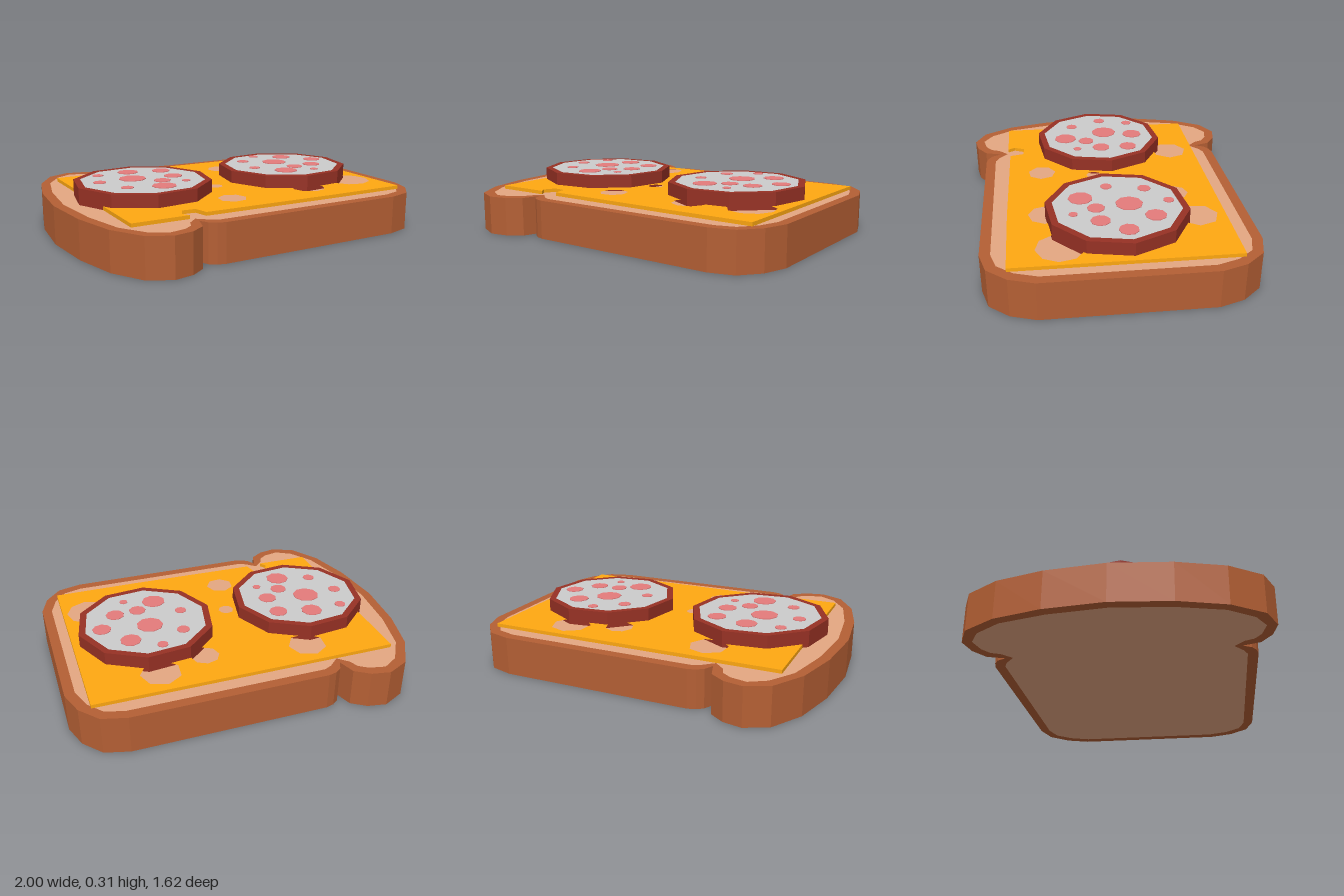
import * as THREE from 'three';

const material = (color) => new THREE.MeshStandardMaterial({ color, flatShading: true });
const CRUST = material(0xb45f34);
const CRUMB = material(0xe4a782);
const CHEESE = material(0xffa811);
const RIND = material(0x973124);
const MEAT = material(0xcccccc);
const SPOT = material(0xe47b7b);

const BREAD_TOP = 0.215, CHEESE_TOP = 0.235, MEAT_TOP = 0.307, SPOT_TOP = 0.311;

// Flat outline given as [x, z] points, extruded upwards from y0 to y1
const toPoints = (list) => list.map(([x, z]) => new THREE.Vector2(x, -z));

function slab(name, mat, outline, holes, y0, y1) {
  const shape = new THREE.Shape(toPoints(outline));
  for (const hole of holes) shape.holes.push(new THREE.Path(toPoints(hole)));
  const geometry = new THREE.ExtrudeGeometry(shape, { depth: y1 - y0, bevelEnabled: false });
  geometry.rotateX(-Math.PI / 2).translate(0, y0, 0);
  const mesh = new THREE.Mesh(geometry, mat);
  mesh.name = name;
  return mesh;
}

function polygon(cx, cz, r, sides, turn = 0) {
  return Array.from({ length: sides }, (_, i) => {
    const a = turn + (i / sides) * Math.PI * 2;
    return [cx + r * Math.cos(a), cz + r * Math.sin(a)];
  });
}

// Back half of a slice outline, mirrored to the front
const mirrorZ = (half) => [...half, ...half.filter(([, z]) => z !== 0).reverse().map(([x, z]) => [x, -z])];

const crustOutline = mirrorZ([
  [-1, 0], [-0.97, -0.32], [-0.905, -0.575], [-0.8, -0.75], [-0.675, -0.81], [-0.57, -0.79],
  [-0.49, -0.735], [-0.46, -0.64], [-0.435, -0.69], [-0.4, -0.715], [-0.355, -0.727],
  [0.73, -0.727], [0.865, -0.69], [0.955, -0.585], [1, -0.45],
]);
const crumbOutline = mirrorZ([
  [-0.945, 0], [-0.915, -0.31], [-0.855, -0.56], [-0.765, -0.7], [-0.675, -0.755], [-0.585, -0.735],
  [-0.535, -0.7], [-0.515, -0.65], [-0.46, -0.597], [-0.4, -0.65], [-0.355, -0.67],
  [0.73, -0.67], [0.835, -0.64], [0.905, -0.555], [0.945, -0.435],
]);

// Cheese sheet with a bite in the front edge, and its holes as [x, z, radius, sides]
const cheeseOutline = [
  [-0.8, -0.595], [0.89, -0.595], [0.89, 0.59], [0.38, 0.59], [-0.385, 0.577],
  [-0.405, 0.495], [-0.48, 0.49], [-0.51, 0.55], [-0.485, 0.59], [-0.8, 0.59],
];
const cheeseHoles = [
  [-0.355, -0.44, 0.107, 7], [0.22, -0.36, 0.08, 8], [0.49, -0.44, 0.112, 7],
  [-0.055, 0.075, 0.045, 8], [-0.12, 0.385, 0.082, 7], [0.395, 0.38, 0.097, 8], [0.735, 0.32, 0.13, 9],
];

// Salami spots as [x, z, radius] from the slice centre
const leftSpots = [
  [-0.027, -0.286, 0.03], [-0.176, -0.174, 0.037], [0.128, -0.19, 0.058], [-0.01, -0.067, 0.075],
  [0.257, -0.03, 0.053], [-0.22, 0.035, 0.033], [0.155, 0.104, 0.053], [0.02, 0.115, 0.048],
  [-0.096, 0.19, 0.068], [0.075, 0.24, 0.024],
];
const rightSpots = [
  [-0.19, -0.21, 0.032], [0, -0.22, 0.06], [0.19, -0.17, 0.053], [-0.243, -0.03, 0.037],
  [-0.045, -0.04, 0.077], [0.19, 0, 0.053], [0.083, 0.085, 0.048], [-0.158, 0.162, 0.035],
  [0.2, 0.15, 0.024], [0.035, 0.215, 0.068],
];

function salami(name, x, z, spots) {
  const group = new THREE.Group();
  group.name = name;
  group.position.set(x, 0, z);
  const turn = THREE.MathUtils.degToRad(-78.5);
  const outer = polygon(0, 0, 0.392, 10, turn), inner = polygon(0, 0, 0.353, 10, turn);
  group.add(slab('rind', RIND, outer, [inner], BREAD_TOP, MEAT_TOP));
  group.add(slab('meat', MEAT, inner, [], BREAD_TOP, MEAT_TOP));
  for (const [sx, sz, r] of spots) {
    group.add(slab('spot', SPOT, polygon(sx, sz, r, 9, sx * 20), [], MEAT_TOP - 0.01, SPOT_TOP));
  }
  return group;
}

export function createModel() {
  const model = new THREE.Group();
  model.name = 'openSandwich';

  // Bread slice
  model.add(slab('crust', CRUST, crustOutline, [crumbOutline], 0, BREAD_TOP));
  model.add(slab('crumb', CRUMB, crumbOutline, [], 0, BREAD_TOP));

  // Cheese
  const holes = cheeseHoles.map(([x, z, r, sides]) => polygon(x, z, r, sides, 0.1));
  model.add(slab('cheese', CHEESE, cheeseOutline, holes, BREAD_TOP, CHEESE_TOP));

  // Salami slices
  model.add(salami('rightSalami', -0.485, 0.005, rightSpots));
  model.add(salami('leftSalami', 0.462, 0, leftSpots));
  return model;
}
